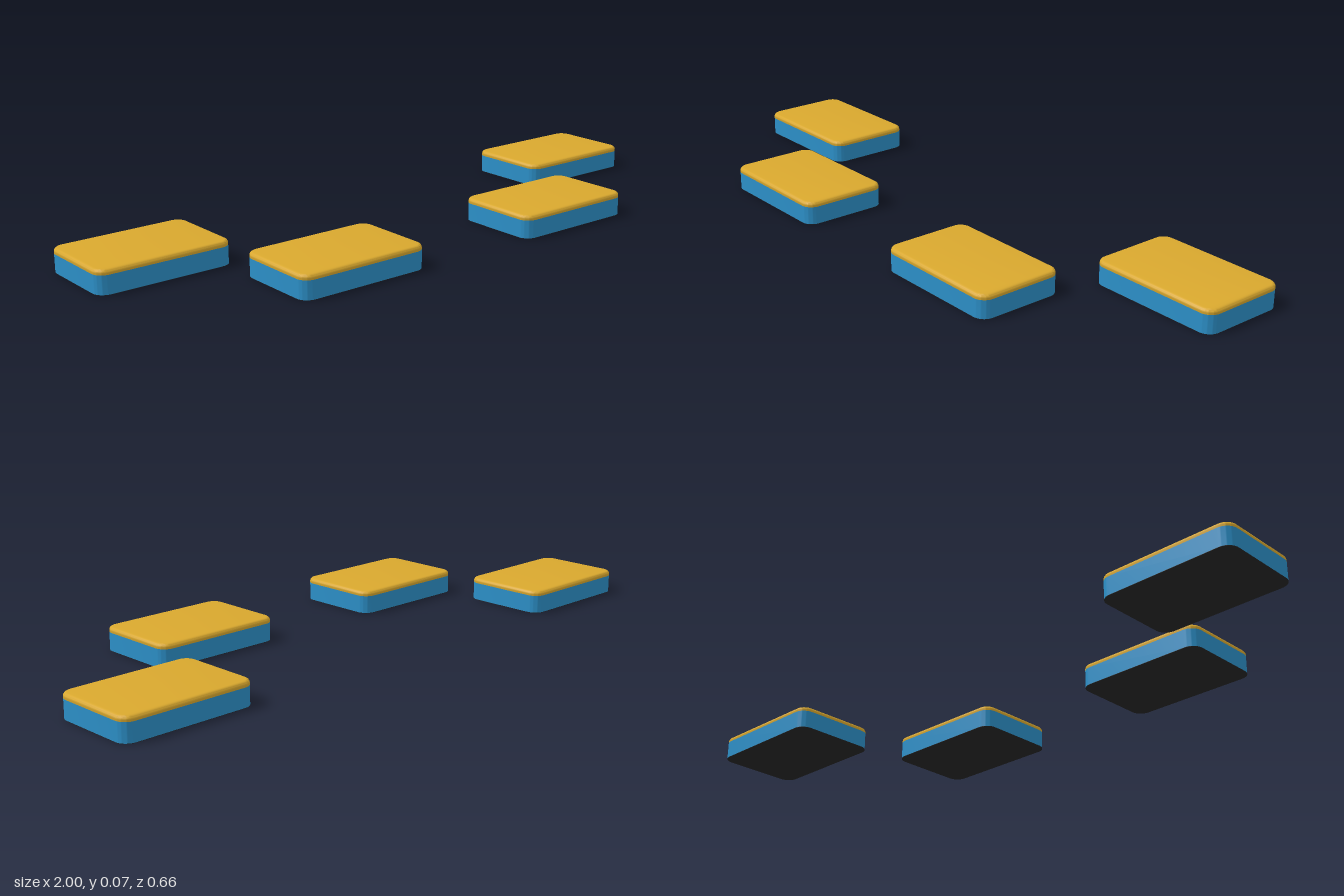
import * as THREE from 'three';
import { toCreasedNormals } from 'three/addons/utils/BufferGeometryUtils.js';

const WIDTH = 0.41, DEPTH = 0.272, RADIUS = 0.035;
const SEAM = 0.055, HEIGHT = 0.07, BEVEL = 0.01;

// Rounded rectangle outline, shrunk on every side by inset
function outline(inset) {
  const x = WIDTH / 2 - inset, y = DEPTH / 2 - inset, r = RADIUS - inset;
  const shape = new THREE.Shape();
  shape.absarc(x - r, y - r, r, 0, Math.PI / 2);
  shape.absarc(-x + r, y - r, r, Math.PI / 2, Math.PI);
  shape.absarc(-x + r, -y + r, r, Math.PI, Math.PI * 1.5);
  shape.absarc(x - r, -y + r, r, Math.PI * 1.5, Math.PI * 2);
  shape.closePath();
  return shape;
}

export function createModel() {
  const blue = new THREE.MeshStandardMaterial({ name: 'blue', color: 0x2c8fc7 });
  const gold = new THREE.MeshStandardMaterial({ name: 'gold', color: 0xd9a82e });
  const black = new THREE.MeshStandardMaterial({ name: 'black', color: 0x262626 });

  // Straight-sided body, open below where the base closes it
  const bodyGeometry = toCreasedNormals(new THREE.ExtrudeGeometry(outline(0), {
    depth: SEAM - 0.001, bevelEnabled: false, curveSegments: 8,
  }).rotateX(-Math.PI / 2).translate(0, 0.001, 0), 0.6);

  // Top layer with a softly rounded rim; its lower bevel sits inside the body
  const topGeometry = toCreasedNormals(new THREE.ExtrudeGeometry(outline(BEVEL), {
    depth: HEIGHT - SEAM - BEVEL, bevelEnabled: true, bevelSize: BEVEL,
    bevelThickness: BEVEL, bevelSegments: 4, curveSegments: 8,
  }).rotateX(-Math.PI / 2).translate(0, SEAM, 0), 0.6);

  // Dark underside
  const baseGeometry = toCreasedNormals(new THREE.ExtrudeGeometry(outline(0), {
    depth: 0.001, bevelEnabled: false, curveSegments: 8,
  }).rotateX(-Math.PI / 2), 0.6);

  const parts = [
    ['body', bodyGeometry, blue],
    ['topLayer', topGeometry, gold],
    ['base', baseGeometry, black],
  ];

  // Four identical pads: [name, x, z]
  const pads = [
    ['backRightPad', -0.795, -0.175],
    ['frontRightPad', -0.413, 0.194],
    ['frontLeftPad', 0.378, 0.194],
    ['backLeftPad', 0.795, -0.194],
  ];

  const model = new THREE.Group();
  model.name = 'padSet';
  for (const [name, x, z] of pads) {
    const pad = new THREE.Group();
    pad.name = name;
    pad.position.set(x, 0, z);
    for (const [partName, geometry, material] of parts) {
      const mesh = new THREE.Mesh(geometry, material);
      mesh.name = partName;
      pad.add(mesh);
    }
    model.add(pad);
  }
  return model;
}
